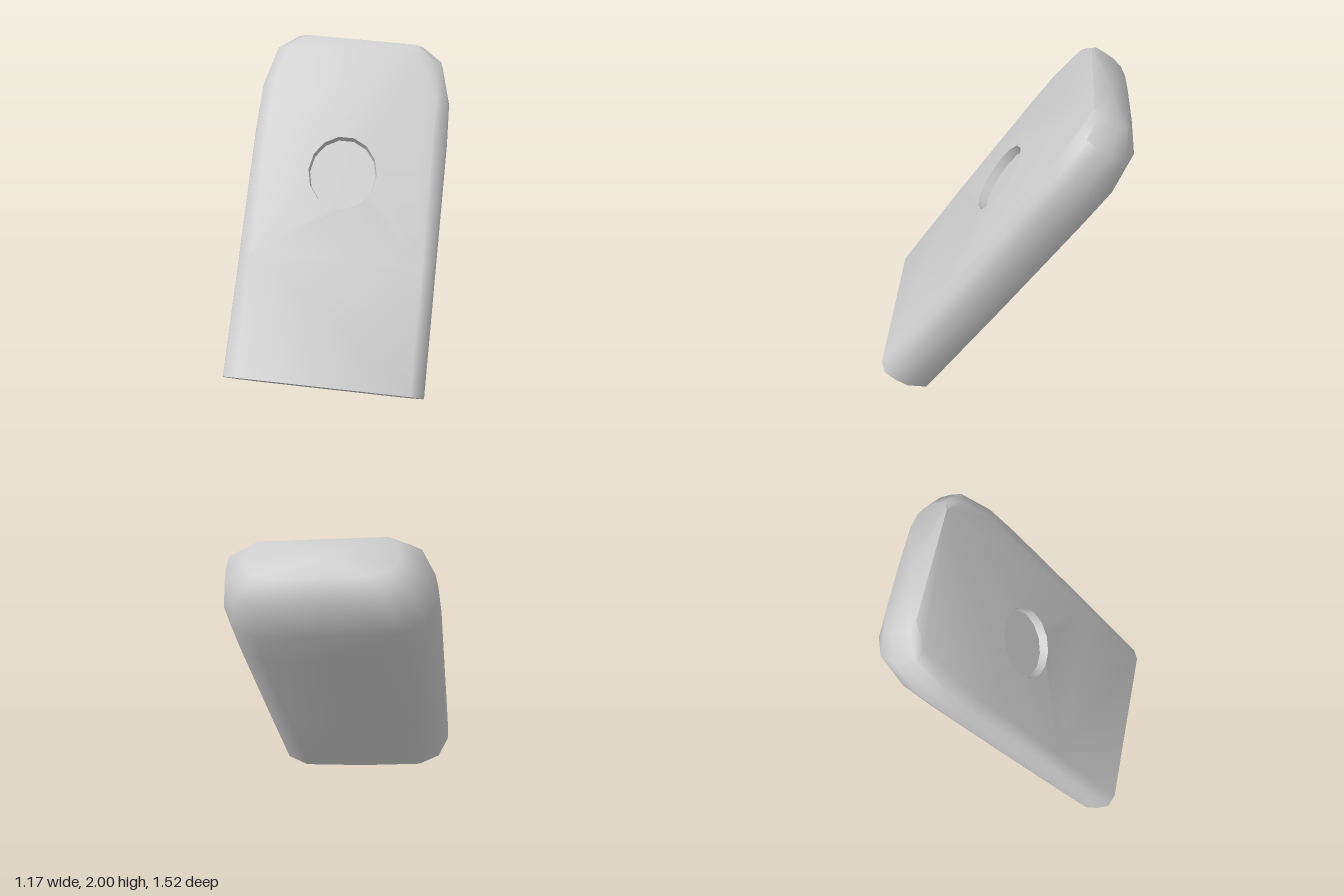
import * as THREE from 'three';
import { mergeGeometries, toCreasedNormals } from 'three/addons/utils/BufferGeometryUtils.js';

// Local axes: x across, y along the slab, z out of the broad front face.
const FRONT = 0.153;
// Half cross-section [x, z], from the front edge round to the back
const HALF = [[0.5, FRONT], [0.57, 0.118], [0.585, 0.04], [0.582, -0.05], [0.52, -0.18], [0.39, -0.243]];
const SECTION = [...HALF, [0, -0.252], ...HALF.map(([x, z]) => [-x, z]).reverse()];
// Stations along the slab: y, width scale, front scale, back scale
const STATIONS = [
  [-1.02, 1, 0.98, 0.97],
  [-0.3, 1, 1.03, 1],
  [0.5, 1, 1.03, 1],
  [0.76, 0.985, 1.01, 0.99],
  [1.0, 0.88, 0.96, 0.82],
  [1.092, 0.67, 0.87, 0.42],
];
// Round recess in the front face
const HOLE = { x: -0.02, y: 0.235, rx: 0.203, ry: 0.222, z: 0.166, depth: 0.055, sides: 14 };

function fromTriangles(points) {
  return new THREE.BufferGeometry().setFromPoints(points);
}

function holeRing(scale, z) {
  return Array.from({ length: HOLE.sides }, (_, i) => {
    const t = (i / HOLE.sides) * Math.PI * 2;
    return new THREE.Vector3(HOLE.x + HOLE.rx * scale * Math.cos(t), HOLE.y + HOLE.ry * scale * Math.sin(t), z);
  });
}

// Sides, back and both ends, lofted through the stations
function shellGeometry() {
  const rings = STATIONS.map(([y, w, f, b]) =>
    SECTION.map(([x, z]) => new THREE.Vector3(x * w, y, z * (z > 0 ? f : b))));
  const tris = [];
  const n = SECTION.length;
  for (let i = 0; i < rings.length - 1; i++) {
    for (let j = 0; j < n - 1; j++) {
      const a = rings[i][j], b = rings[i][j + 1], c = rings[i + 1][j + 1], d = rings[i + 1][j];
      tris.push(a, b, c, a, c, d);
    }
  }
  const bottom = rings[0], top = rings[rings.length - 1];
  const bottomMid = new THREE.Vector3(0, -1.02, -0.04);
  const topMid = new THREE.Vector3(0, 1.1, 0.01);
  for (let j = 0; j < n; j++) {
    const k = (j + 1) % n;
    tris.push(topMid, top[j], top[k], bottomMid, bottom[k], bottom[j]);
  }
  return fromTriangles(tris);
}

// Front face with the round opening, bowed slightly to meet the shell
function frontGeometry() {
  const right = STATIONS.map(([y, w]) => new THREE.Vector2(0.5 * w, y));
  const left = right.map((p) => new THREE.Vector2(-p.x, p.y)).reverse();
  const shape = new THREE.Shape([...right, ...left]);
  shape.holes.push(new THREE.Path(holeRing(1, 0).map((p) => new THREE.Vector2(p.x, p.y))));
  const geo = new THREE.ShapeGeometry(shape).toNonIndexed();
  const pos = geo.attributes.position;
  for (let i = 0; i < pos.count; i++) {
    const onRim = Math.hypot(pos.getX(i) - HOLE.x, pos.getY(i) - HOLE.y) < 0.24;
    const station = STATIONS.find((s) => Math.abs(s[0] - pos.getY(i)) < 1e-4);
    pos.setZ(i, onRim || !station ? HOLE.z : FRONT * station[2]);
  }
  geo.deleteAttribute('uv');
  geo.deleteAttribute('normal');
  return geo;
}

// Wall and floor of the recess
function recessGeometry() {
  const rim = holeRing(1, HOLE.z);
  const base = holeRing(0.97, HOLE.z - HOLE.depth);
  const mid = new THREE.Vector3(HOLE.x, HOLE.y, HOLE.z - HOLE.depth);
  const tris = [];
  for (let i = 0; i < HOLE.sides; i++) {
    const k = (i + 1) % HOLE.sides;
    tris.push(rim[i], rim[k], base[k], rim[i], base[k], base[i], mid, base[i], base[k]);
  }
  return fromTriangles(tris);
}

export function createModel() {
  const group = new THREE.Group();
  group.name = 'tiltedSlab';
  const material = new THREE.MeshStandardMaterial({ color: 0xcccccc });
  const add = (name, geometry) => {
    const mesh = new THREE.Mesh(toCreasedNormals(geometry, THREE.MathUtils.degToRad(60)), material);
    mesh.name = name;
    tilted.add(mesh);
  };

  // Leaning back and twisted a little about its length
  const tilted = new THREE.Group();
  tilted.name = 'slab';
  const along = new THREE.Vector3(0, 0.823, -0.568).normalize();
  const out = new THREE.Vector3(0.131, 0.563, 0.816).normalize();
  const across = new THREE.Vector3().crossVectors(along, out).normalize();
  out.crossVectors(across, along);
  tilted.quaternion.setFromRotationMatrix(new THREE.Matrix4().makeBasis(across, along, out));
  tilted.position.y = 1.004;

  add('body', mergeGeometries([shellGeometry(), frontGeometry()]));
  add('recess', recessGeometry());
  group.add(tilted);
  return group;
}
